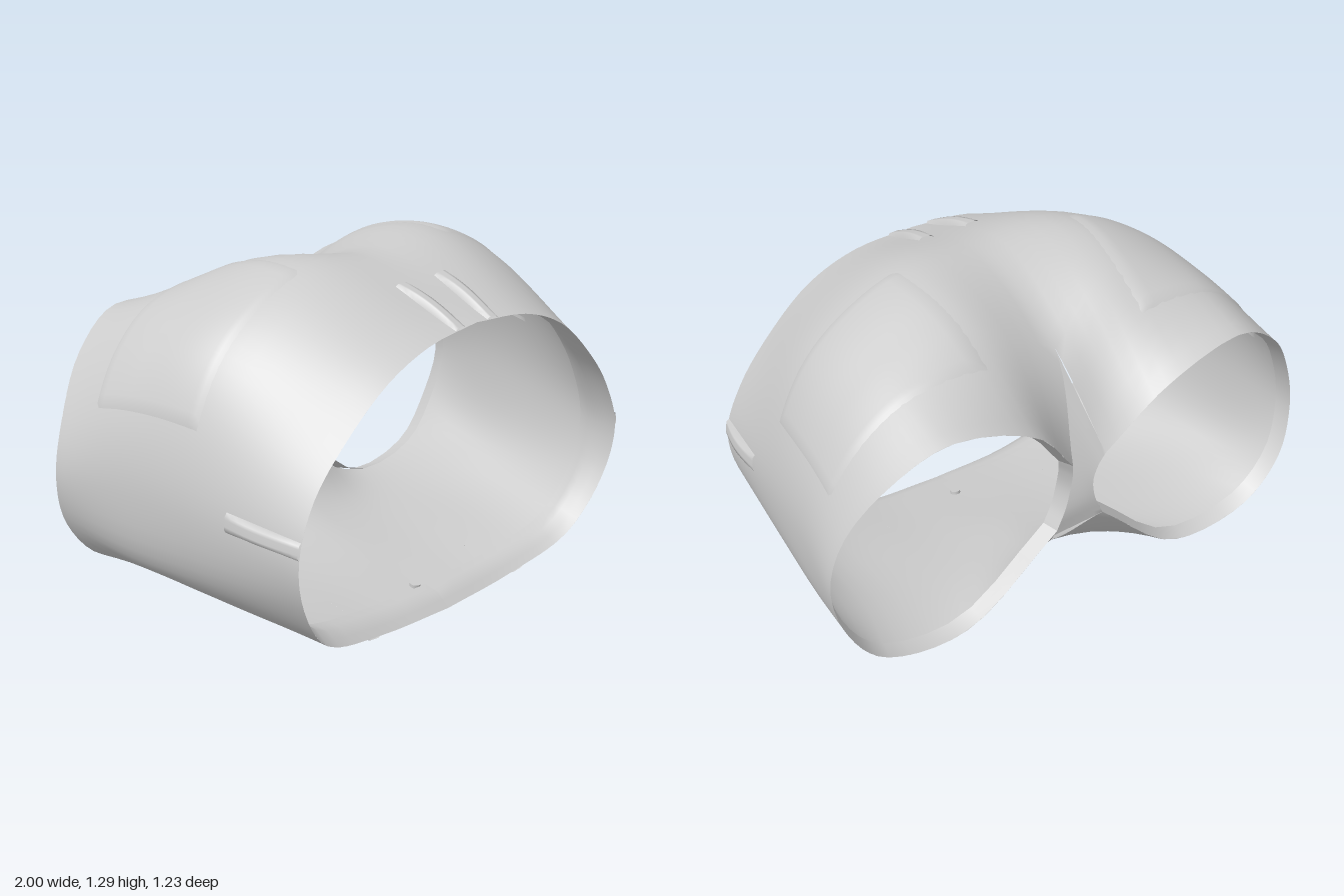
import * as THREE from 'three';
import { mergeGeometries, mergeVertices } from 'three/addons/utils/BufferGeometryUtils.js';

const V = (x, y, z) => new THREE.Vector3(x, y, z);
const spline = (pts) => new THREE.CatmullRomCurve3(pts.map((p) => (p.isVector3 ? p : V(...p))));
const mat = new THREE.MeshStandardMaterial({ color: 0xcccccc, side: THREE.DoubleSide });

// Half sections of the shorts, each running from top centre round the side to bottom centre
const waist = spline([[0, 1.135, 0.6], [0.25, 1.11, 0.61], [0.45, 1.03, 0.61], [0.63, 0.88, 0.6], [0.77, 0.71, 0.59],
  [0.84, 0.52, 0.59], [0.8, 0.32, 0.57], [0.65, 0.12, 0.53], [0.35, 0.04, 0.5], [0, 0.02, 0.5]]);
const middle = spline([[0, 1.28, 0.1], [0.33, 1.3, 0.1], [0.58, 1.2, 0.1], [0.75, 1.05, 0.1], [0.87, 0.8, 0.1],
  [0.91, 0.55, 0.1], [0.86, 0.3, 0.1], [0.7, 0.15, 0.1], [0.35, 0.1, 0.1], [0, 0.1, 0.1]]);
const hip = spline([[0, 1.08, -0.33], [0.3, 1.25, -0.22], [0.6, 1.18, -0.2], [0.78, 1.04, -0.2], [0.91, 0.8, -0.2],
  [0.95, 0.56, -0.2], [0.9, 0.3, -0.2], [0.72, 0.17, -0.2], [0.36, 0.13, -0.2], [0, 0.2, -0.27]]);
const legOuter = spline([[0.07, 0.74, -0.545], [0.28, 0.98, -0.61], [0.6, 1.07, -0.6], [0.81, 0.95, -0.55],
  [0.95, 0.75, -0.485], [1, 0.55, -0.47], [0.95, 0.35, -0.49], [0.8, 0.18, -0.485], [0.47, 0.14, -0.48], [0.1, 0.44, -0.5]]);
// Crotch seam and the inner side of the leg opening
const crotch = spline([[0, 1.08, -0.33], [0, 0.85, -0.385], [0, 0.62, -0.4], [0, 0.4, -0.37], [0, 0.2, -0.27]]);
const legInner = spline([[0.07, 0.74, -0.545], [0.055, 0.68, -0.525], [0.05, 0.6, -0.505], [0.065, 0.52, -0.5], [0.1, 0.44, -0.5]]);

// Point on the left half: u runs round the section, v from waist to leg opening
function outer(u, v) {
  const p = spline([waist, middle, hip, legOuter].map((c) => c.getPoint(u))).getPoint(v);
  p.x = Math.max(0, p.x);
  return p;
}
const inner = (u, v) => crotch.getPoint(u).lerp(legInner.getPoint(u), v);

// Grid surface from a function of (u, v); side -1 mirrors it to the right
function grid(fn, nu, nv, side) {
  const pos = [], idx = [];
  for (let i = 0; i <= nu; i++) {
    for (let j = 0; j <= nv; j++) {
      const p = fn(i / nu, j / nv);
      pos.push(side * p.x, p.y, p.z);
      if (i === nu || j === nv) continue;
      const a = i * (nv + 1) + j, b = a + nv + 1;
      if (side > 0) idx.push(a, b, a + 1, b, b + 1, a + 1);
      else idx.push(a, a + 1, b, b, a + 1, b + 1);
    }
  }
  const g = new THREE.BufferGeometry();
  g.setAttribute('position', new THREE.Float32BufferAttribute(pos, 3));
  g.setIndex(idx);
  g.computeVertexNormals();
  return g;
}

// Piece of cloth following the surface, lifted outward by lift(s, t)
function patch(u0, u1, v0, v1, lift, nu, nv, side) {
  const at = (s, t) => {
    const u = u0 + (u1 - u0) * s, v = v0 + (v1 - v0) * t, e = 0.005;
    const p = outer(u, v);
    const du = outer(Math.min(1, u + e), v).sub(outer(Math.max(0, u - e), v));
    const dv = outer(u, v + e).sub(outer(u, Math.max(0, v - e)));
    const n = du.cross(dv).normalize();
    if (n.x * p.x + n.y * (p.y - 0.6) < 0) n.negate();
    p.addScaledVector(n, lift(s, t));
    p.x = Math.max(0, p.x);
    return p;
  };
  return grid(at, nu, nv, side);
}

export function createModel() {
  const group = new THREE.Group();
  const add = (name, geo) => {
    const m = new THREE.Mesh(geo, mat);
    m.name = name;
    group.add(m);
  };

  // Cloth shell: trunk and legs, then the crotch bridging the legs
  const parts = [];
  for (const side of [1, -1]) {
    parts.push(grid(outer, 45, 24, side));
    parts.push(grid((u, v) => inner(1 - u, v), 16, 8, side));
  }
  parts.forEach((g) => g.deleteAttribute('normal'));
  const shell = mergeVertices(mergeGeometries(parts), 1e-4);
  shell.computeVertexNormals();
  add('shorts', shell);

  for (const side of [1, -1]) {
    const name = side > 0 ? 'left' : 'right';

    // Facing folded inside the waist
    const fold = (s, t) => -0.035 * Math.min(1, t * 2);
    add(name + 'WaistFacing', patch(0, 1, 0, 0.1, fold, 36, 4, side));

    // Hem folded inside the leg opening
    [legOuter, legInner].forEach((curve, i) => {
      const hem = grid((u, v) => {
        const p = curve.getPoint(u), k = 1 - 0.04 * v;
        return V(0.53 + (p.x - 0.53) * k, 0.58 + (p.y - 0.58) * k, p.z + 0.06 * v);
      }, 32, 2, side);
      add(name + (i ? 'InnerHem' : 'OuterHem'), hem);
    });

    // Seat pocket, its border sunk just under the shell
    const flat = (s, t) => (s <= 0 || s >= 1 || t <= 0 || t >= 1 ? -0.004 : 0.005);
    add(name + 'SeatPocket', patch(0.12, 0.43, 0.31, 0.83, flat, 24, 24, side));

    // Belt loops: arched strips with closed long edges
    const arch = (s, t) => (s <= 0 || s >= 1 ? 0 : 0.008 + 0.014 * Math.sin(Math.PI * t));
    [['Top', 0.036, 0.011, 0.17], ['Side', 0.538, 0.017, 0.2], ['Bottom', 0.875, 0.012, 0.22]].forEach(([label, u, w, len]) => {
      add(name + label + 'BeltLoop', patch(u - w, u + w, 0.002, len, arch, 6, 10, side));
    });
  }

  // Button under the front of the waist, its shank reaching the cloth
  const button = new THREE.Group();
  button.name = 'button';
  const disc = new THREE.Mesh(new THREE.CylinderGeometry(0.02, 0.02, 0.05, 16), mat);
  disc.name = 'buttonShank';
  disc.position.y = 0.012;
  const rim = new THREE.Mesh(new THREE.TorusGeometry(0.032, 0.009, 8, 20), mat);
  rim.name = 'buttonRim';
  rim.rotation.x = Math.PI / 2;
  const plate = new THREE.Mesh(new THREE.CylinderGeometry(0.032, 0.032, 0.008, 20), mat);
  plate.name = 'buttonPlate';
  button.add(disc, rim, plate);
  button.position.set(0, 0.028, 0.33);
  button.rotation.x = 0.15;
  group.add(button);

  return group;
}
